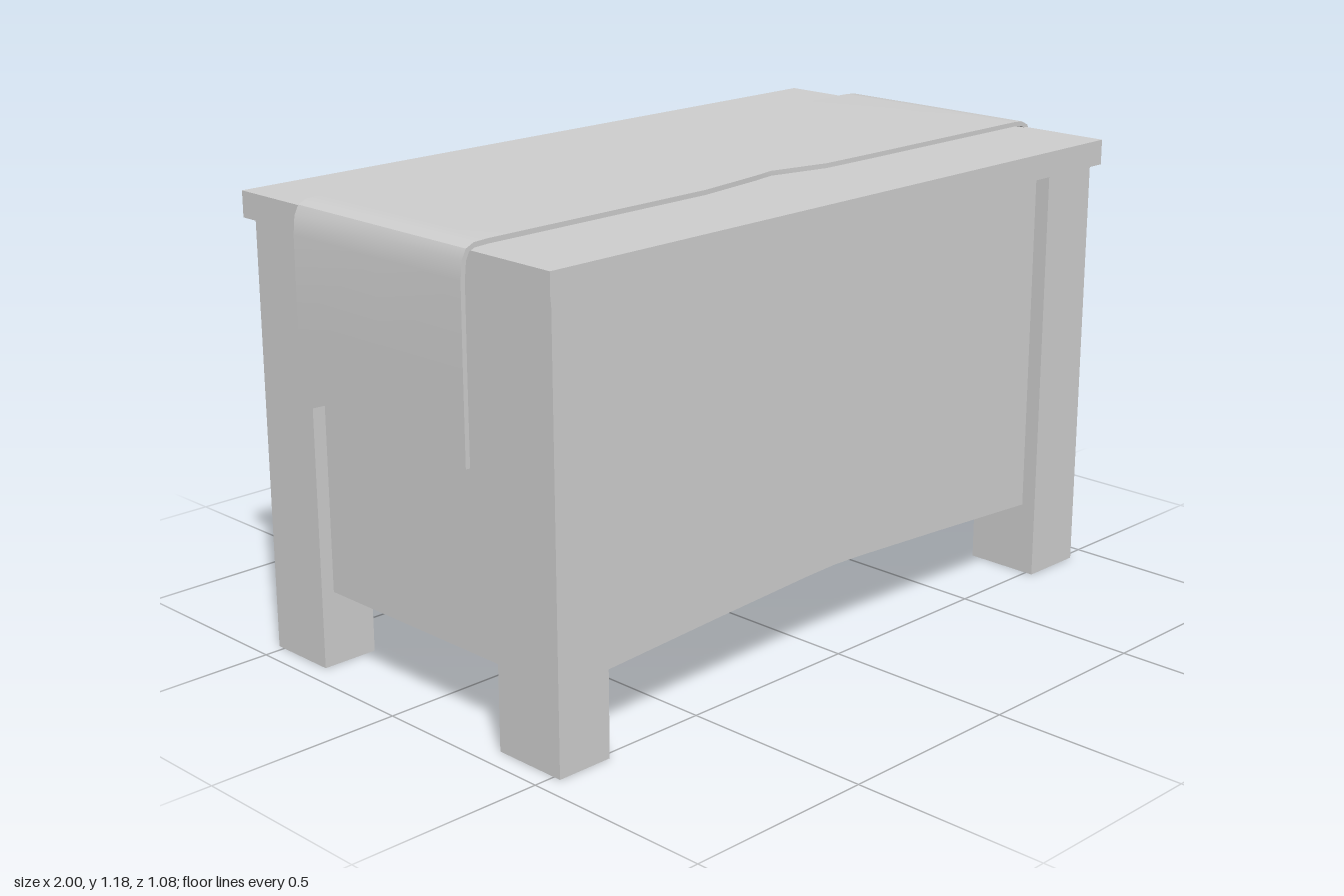
import * as THREE from 'three';
import { toCreasedNormals } from 'three/addons/utils/BufferGeometryUtils.js';

const grey = new THREE.MeshStandardMaterial({ color: 0xcccccc });
const greyDouble = new THREE.MeshStandardMaterial({ color: 0xcccccc, side: THREE.DoubleSide });

function add(parent, name, geometry, material = grey) {
  const mesh = new THREE.Mesh(geometry, material);
  mesh.name = name;
  parent.add(mesh);
  return mesh;
}

// Box given by its limits on each axis
function box(parent, name, x0, x1, y0, y1, z0, z1) {
  const mesh = add(parent, name, new THREE.BoxGeometry(x1 - x0, y1 - y0, z1 - z0));
  mesh.position.set((x0 + x1) / 2, (y0 + y1) / 2, (z0 + z1) / 2);
  return mesh;
}

const rectPoints = (x0, x1, y0, y1) =>
  [[x0, y0], [x1, y0], [x1, y1], [x0, y1]].map(([x, y]) => new THREE.Vector2(x, y));

// Cabinet outline with a gently arched lower edge, extruded along z
function cabinetSlab(z0, z1, holes = []) {
  const outline = [[-0.91, 1.095], [-0.91, 0.19], [-0.795, 0.19], [-0.4, 0.212], [-0.1, 0.227], [0, 0.23],
    [0.1, 0.227], [0.4, 0.211], [0.76, 0.19], [0.9, 0.19], [0.9, 1.095]];
  const shape = new THREE.Shape(outline.map(([x, y]) => new THREE.Vector2(x, y)));
  holes.forEach(h => shape.holes.push(new THREE.Path(rectPoints(...h))));
  return new THREE.ExtrudeGeometry(shape, { depth: z1 - z0, bevelEnabled: false }).translate(0, 0, z0);
}

// Cloth strip: stations [x, y, zMin, zMax, yMid] swept into a thin closed shell
function clothGeometry(stations, thickness) {
  const pos = [], index = [], n = stations.length;
  stations.forEach(([x, y, z0, z1, yMid = y], i) => {
    const a = stations[Math.max(i - 1, 0)], b = stations[Math.min(i + 1, n - 1)];
    const dx = b[0] - a[0], dy = b[1] - a[1], len = Math.hypot(dx, dy);
    const ox = dy / len * thickness, oy = -dx / len * thickness;
    const zm = 0.01;
    pos.push(x, y, z0, x, yMid, zm, x, y, z1);
    pos.push(x + ox, y + oy, z1, x + ox, yMid + oy, zm, x + ox, y + oy, z0);
  });
  for (let i = 0; i < n - 1; i++) {
    for (let k = 0; k < 6; k++) {
      const a = i * 6 + k, b = i * 6 + (k + 1) % 6;
      index.push(a, b, b + 6, a, b + 6, a + 6);
    }
  }
  const e = (n - 1) * 6;
  index.push(0, 5, 4, 0, 4, 1, 1, 4, 3, 1, 3, 2);
  index.push(e, e + 4, e + 5, e, e + 1, e + 4, e + 1, e + 3, e + 4, e + 1, e + 2, e + 3);
  const g = new THREE.BufferGeometry();
  g.setAttribute('position', new THREE.Float32BufferAttribute(pos, 3));
  g.setIndex(index);
  return toCreasedNormals(g, 0.6);
}

function createBucket() {
  const bucket = new THREE.Group();
  bucket.name = 'bucket';
  const profile = [[0, 0], [0.2, 0], [0.207, 0.44], [0.217, 0.45], [0.217, 0.505], [0.212, 0.51],
    [0.196, 0.51], [0.192, 0.5], [0.186, 0.03], [0, 0.03]].map(([r, y]) => new THREE.Vector2(r, y));
  add(bucket, 'bucketShell', toCreasedNormals(new THREE.LatheGeometry(profile, 40), 0.6));
  // Horizontal grip on each side
  const grip = new THREE.CatmullRomCurve3([[0.19, -0.085], [0.235, -0.085], [0.255, -0.065], [0.262, 0],
    [0.255, 0.065], [0.235, 0.085], [0.19, 0.085]].map(([x, z]) => new THREE.Vector3(x, 0.44, z)));
  for (const turn of [0, Math.PI]) {
    const handle = add(bucket, 'bucketHandle', new THREE.TubeGeometry(grip, 28, 0.016, 10));
    handle.rotation.y = Math.PI - 0.53 + turn;
  }
  return bucket;
}

export function createModel() {
  const model = new THREE.Group();
  model.name = 'kitchenIsland';

  // Top and legs
  box(model, 'tabletop', -0.965, 0.955, 1.095, 1.16, -0.54, 0.54);
  for (const [x0, x1] of [[-0.945, -0.795], [0.76, 0.935]]) {
    box(model, 'leg', x0, x1, 0, 1.095, 0.32, 0.52);
    box(model, 'leg', x0, x1, 0, 1.095, -0.52, -0.33);
  }

  // Cabinet with an open compartment and a drawer bay at the back
  add(model, 'frontPanel', cabinetSlab(0.44, 0.48));
  add(model, 'cabinetBody', cabinetSlab(-0.48, 0.44,
    [[0.0, 0.87, 0.32, 0.925], [-0.77, -0.025, 0.335, 0.9]]));
  box(model, 'drawerBayBack', -0.79, -0.01, 0.3, 0.92, -0.45, -0.42);

  // Drawers with chamfered fronts and round knobs
  const bevel = 0.035;
  for (const [y0, y1] of [[0.655, 0.87], [0.375, 0.585]]) {
    const drawer = new THREE.Group();
    drawer.name = 'drawer';
    const face = new THREE.Shape(rectPoints(-0.745 + bevel, -0.055 - bevel, y0 + bevel, y1 - bevel));
    const front = new THREE.ExtrudeGeometry(face,
      { depth: 0.02, bevelThickness: 0.025, bevelSize: bevel, bevelSegments: 1 });
    add(drawer, 'drawerFront', front.translate(0, 0, -0.46));
    const stem = add(drawer, 'knobStem', new THREE.CylinderGeometry(0.012, 0.012, 0.03, 16));
    stem.rotation.x = Math.PI / 2;
    stem.position.set(-0.4, (y0 + y1) / 2, -0.485);
    const knob = add(drawer, 'knob', new THREE.SphereGeometry(0.027, 20, 14));
    knob.scale.z = 0.8;
    knob.position.set(-0.4, (y0 + y1) / 2, -0.502);
    model.add(drawer);
  }

  // Bucket standing in the open compartment
  const bucket = createBucket();
  bucket.position.set(0.416, 0.32, -0.273);
  model.add(bucket);

  // Table runner with notched hanging ends and nicked long edges
  const w = 0.295;
  const path = [
    [-1, 0.68, -w, w, 0.79], [-1, 0.9, -w, w], [-0.999, 1.1, -w, w], [-0.994, 1.145, -w, w],
    [-0.982, 1.168, -w, w], [-0.96, 1.178, -w, w], [-0.92, 1.18, -w, w],
    [-0.26, 1.18, -w, 0.293], [-0.06, 1.18, -w, 0.268], [0, 1.18, -w, 0.257], [0.16, 1.18, -w, 0.293],
    [0.32, 1.18, -w, w], [0.43, 1.18, -0.245, w], [0.5, 1.18, -w, w],
    [0.9, 1.18, -w, w], [0.935, 1.178, -w, w], [0.96, 1.166, -w, w], [0.975, 1.14, -w, w],
    [0.985, 1.1, -w, w], [0.992, 0.98, -w, w], [1, 0.81, -w, w, 0.9]];
  add(model, 'tableRunner', clothGeometry(path, 0.012), greyDouble);

  return model;
}
